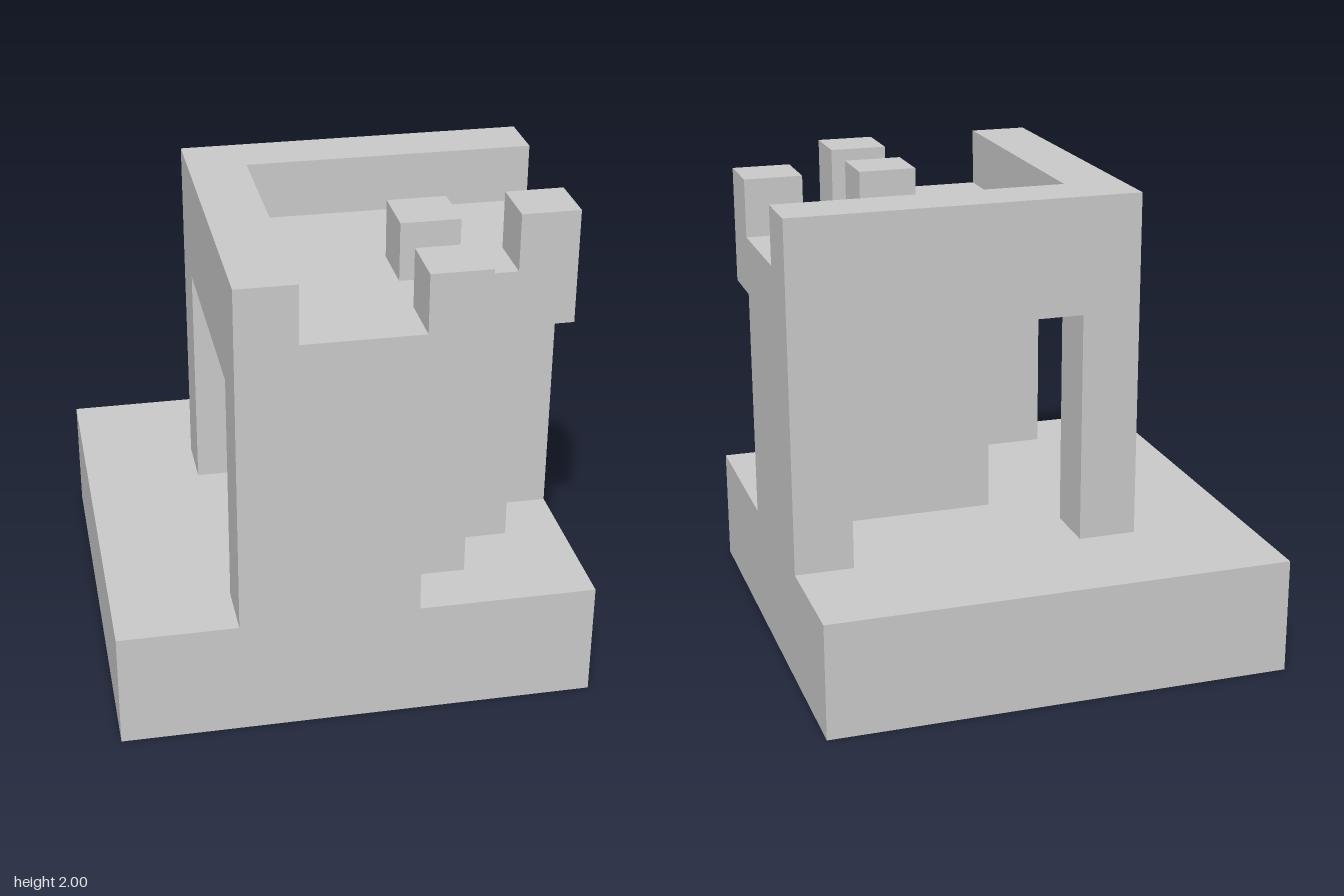
import * as THREE from 'three';

const material = new THREE.MeshStandardMaterial({ color: 0xcccccc, flatShading: true });

// Extrudes a floor plan of [x, z] corners upwards from y0 to y1.
function storey(name, plan, y0, y1) {
  const shape = new THREE.Shape(plan.map(([x, z]) => new THREE.Vector2(x, -z)));
  const geometry = new THREE.ExtrudeGeometry(shape, { depth: y1 - y0, bevelEnabled: false });
  geometry.rotateX(-Math.PI / 2).translate(0, y0, 0);
  const mesh = new THREE.Mesh(geometry, material);
  mesh.name = name;
  return mesh;
}

// Rectangular plan between two opposite corners.
const rect = (x0, z0, x1, z1) => [[x0, z0], [x1, z0], [x1, z1], [x0, z1]];

// Completes a plan that is symmetric about the diagonal x = z.
const mirrorDiagonal = (half) => [...half, ...half.map(([x, z]) => [z, x]).reverse()];

export function createModel() {
  const group = new THREE.Group();
  group.name = 'tower';

  // Square plinth
  group.add(storey('base', rect(-1, -1, 1, 1), 0, 0.5));

  // Thick walls: stepped niches in front, open passage behind
  const outer = [[0.5, 0.5], [0.75, 0.5], [0.75, 0.25], [1, 0.25], [1, -0.5], [0.75, -0.5], [0.75, 0], [0, 0]];
  const mirrored = outer.slice(1, -1).map(([x, z]) => [z, x]).reverse();
  group.add(storey('walls', [...outer, ...mirrored], 0.5, 1.5));

  // Free-standing post at the back corner
  group.add(storey('cornerPost', rect(-0.5, -0.5, -0.25, -0.25), 0.5, 1.5));

  // Roof slab with the front corner cut away
  group.add(storey('roof', [[-0.5, -0.5], [1, -0.5], [1, 0.5], [0.5, 0.5], [0.5, 1], [-0.5, 1]], 1.5, 1.75));

  // L-shaped parapet along the two back edges
  group.add(storey('parapet', [[-0.5, -0.5], [1, -0.5], [1, -0.25], [-0.25, -0.25], [-0.25, 1], [-0.5, 1]], 1.75, 2));

  // Battlement blocks around the cut corner
  for (const [x, z] of [[0.25, 0.25], [0.75, 0.25], [0.25, 0.75]]) {
    group.add(storey('battlement', rect(x, z, x + 0.25, z + 0.25), 1.75, 2));
  }
  return group;
}
